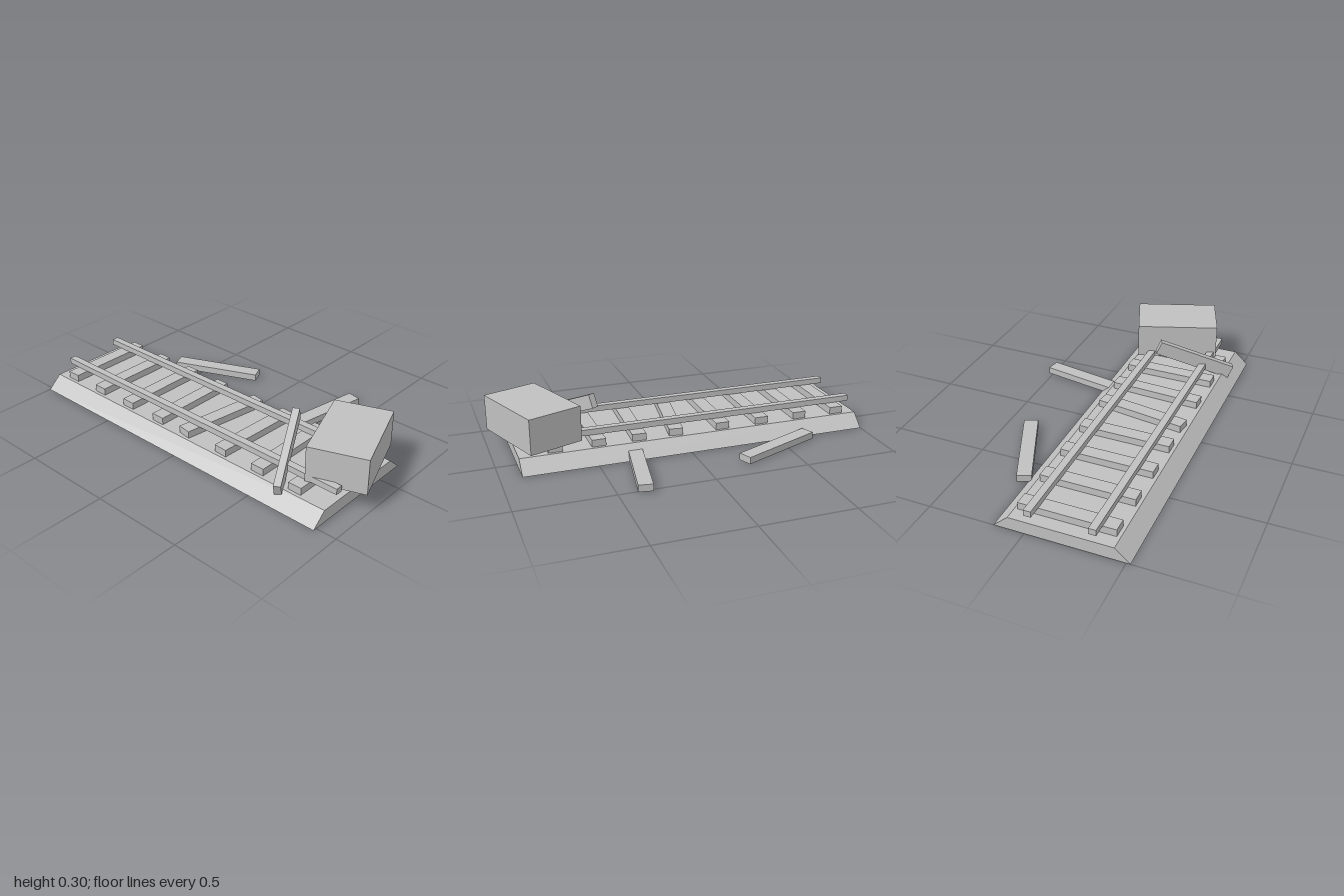
import * as THREE from 'three';

export function createModel() {
  const group = new THREE.Group();
  group.name = 'railwayTrack';
  const grey = new THREE.MeshStandardMaterial({ color: 0xc0c0c0 });
  grey.name = 'plain grey';

  const add = (name, geometry, position, rotation = [0, 0, 0]) => {
    const mesh = new THREE.Mesh(geometry, grey);
    mesh.name = name;
    mesh.position.set(...position);
    mesh.rotation.set(...rotation, 'YXZ');
    group.add(mesh);
  };
  const box = (name, size, position, rotation) =>
    add(name, new THREE.BoxGeometry(...size), position, rotation);

  // Ballast bed: trapezoid section (z mirrored into shape x) run along x
  const section = new THREE.Shape([
    [-0.52, 0], [0.158, 0], [0.082, 0.068], [-0.444, 0.068],
  ].map(([x, y]) => new THREE.Vector2(x, y)));
  const bed = new THREE.ExtrudeGeometry(section, { depth: 1.89, bevelEnabled: false });
  bed.rotateY(Math.PI / 2);
  add('ballastBed', bed, [-1, 0, 0]);

  // Sleepers, two of them knocked askew
  const yaws = [0, 0, 0, 0, -0.15, -0.05, 0, 0];
  yaws.forEach((yaw, i) => {
    box('sleeper', [0.075, 0.038, 0.492], [-0.89 + i * 0.2275, 0.087, 0.18], [0, yaw, 0]);
  });

  // Rails
  for (const side of [-1, 1]) {
    box('rail', [1.89, 0.032, 0.038], [-0.055, 0.122, 0.18 + side * 0.159]);
  }

  // Crate dropped across the far end of the track
  box('crate', [0.298, 0.189, 0.45], [0.778, 0.201, 0.107], [0, 0.35, 0]);

  // Loose sleepers on the ground behind
  box('looseSleeper', [0.49, 0.037, 0.075], [-0.435, 0.0215, -0.27], [0, 0.4, 0]);
  box('looseSleeper', [0.075, 0.037, 0.49], [0.324, 0.0215, -0.275], [0, -0.175, 0]);

  // Plank on edge leaning over the front rail
  box('leaningPlank', [0.037, 0.075, 0.452], [0.55, 0.164, 0.295], [0.4, 0.476, 0]);

  return group;
}
